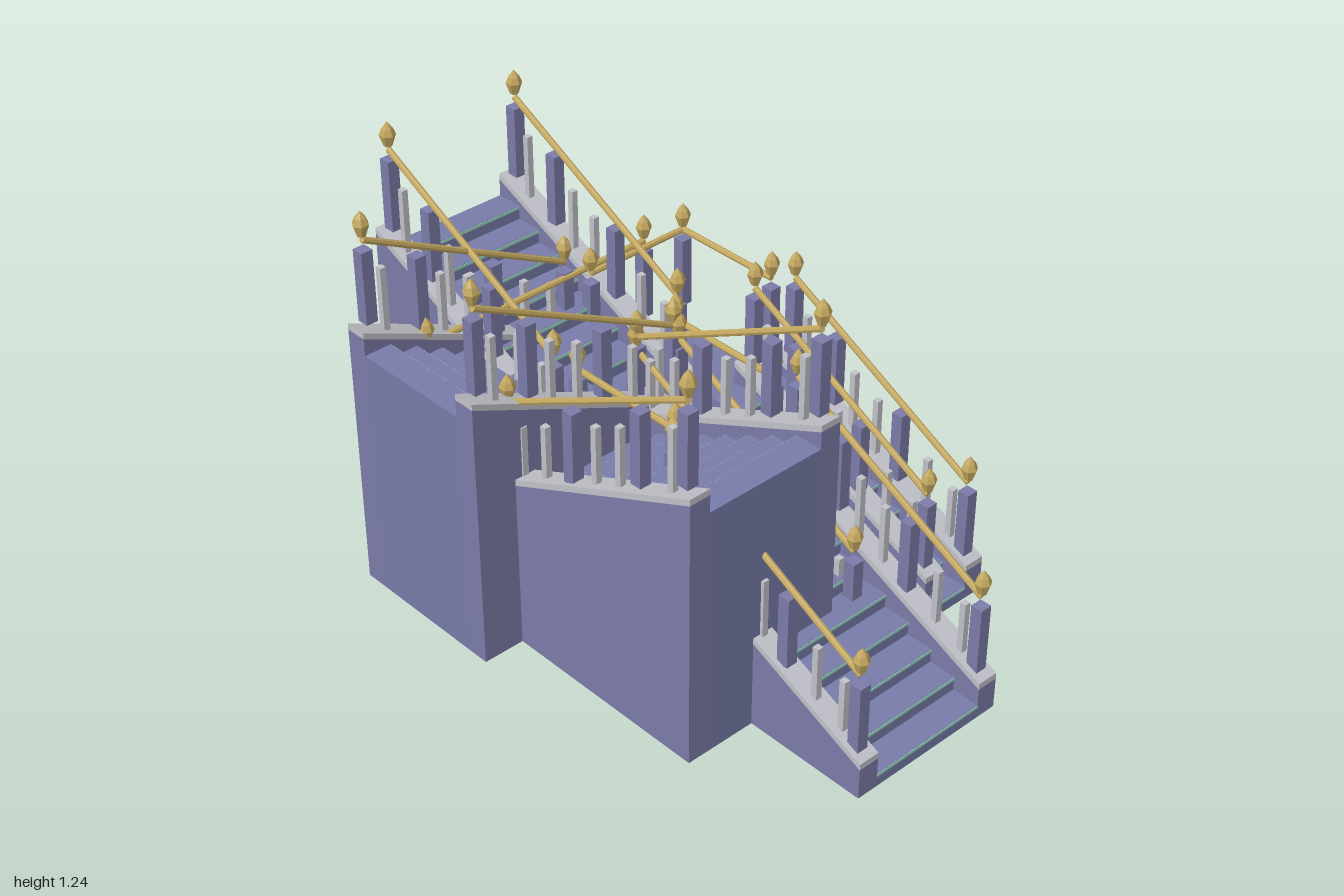
import * as THREE from 'three';

const mat = (name, color) => Object.assign(new THREE.MeshStandardMaterial({ color }), { name });

const RUN = 0.8, RISE = 0.405, STEPS = 9, HALF = 0.2, WALL = 0.07, MID = 0.235;

export function createModel() {
  const stone = mat('violet stone', 0x7b7ba8);
  const tread = mat('tread stone', 0x777ba8);
  const pale = mat('pale trim', 0xc0c0c8);
  const gold = mat('gold', 0xc4a860);
  gold.flatShading = true;
  const mint = mat('mint nosing', 0x98d4c0);

  const model = new THREE.Group();
  model.name = 'staircases';

  const add = (parent, name, geo, material, x = 0, y = 0, z = 0) => {
    const m = new THREE.Mesh(geo, material);
    m.name = name;
    m.position.set(x, y, z);
    parent.add(m);
    return m;
  };
  const box = (parent, name, material, w, h, d, x, y, z) =>
    add(parent, name, new THREE.BoxGeometry(w, h, d), material, x, y, z);

  // faceted pointed bud on top of each end post
  const finialGeo = new THREE.LatheGeometry(
    [[0, 0], [0.013, 0], [0.025, 0.036], [0.017, 0.056], [0, 0.078]].map(p => new THREE.Vector2(...p)), 6);

  // square post whose top is at y
  const post = (parent, x, y, z) => box(parent, 'post', stone, 0.038, 0.23, 0.038, x, y - 0.115, z);

  // rail between two end posts, given the post tops
  function railing(parent, a, b) {
    for (const p of [a, b]) {
      post(parent, p.x, p.y, p.z);
      add(parent, 'finial', finialGeo, gold, p.x, p.y + 0.043, p.z);
    }
    const dir = b.clone().sub(a);
    const rail = add(parent, 'handrail', new THREE.CylinderGeometry(0.01, 0.01, dir.length(), 8), gold);
    rail.position.copy(a).add(b).multiplyScalar(0.5).y += 0.03;
    rail.quaternion.setFromUnitVectors(new THREE.Vector3(0, 1, 0), dir.normalize());
  }

  // extrude a side profile (distance along the flight, height) across the wall
  function sideSlab(parent, name, pts, material, x) {
    const geo = new THREE.ExtrudeGeometry(new THREE.Shape(pts.map(p => new THREE.Vector2(...p))),
      { depth: WALL, bevelEnabled: false });
    geo.rotateY(Math.PI / 2);
    add(parent, name, geo, material, x - WALL / 2);
  }

  // one flight rising along its local -z, solid down to the floor
  function flight(name, x, z, turn, base) {
    const g = new THREE.Group();
    g.name = name;
    g.position.set(x, 0, z);
    g.rotation.y = turn;
    model.add(g);

    const going = RUN / STEPS;
    for (let i = 0; i < STEPS; i++) {
      const top = base + (i + 1) * RISE / STEPS;
      box(g, 'step', tread, HALF * 2, top, going, 0, top / 2, -(i + 0.5) * going);
      box(g, 'nosing', mint, HALF * 2, 0.009, 0.004, 0, top - 0.006, -i * going);
    }

    const capY = s => base + 0.12 + s * 0.45;
    const postY = s => base + 0.35 + (s - 0.045) * 0.514;
    for (const side of [-1, 1]) {
      const wx = side * MID;
      sideSlab(g, 'side wall', [[0, 0], [RUN, 0], [RUN, capY(RUN) - 0.02], [0, capY(0) - 0.02]], stone, wx);
      sideSlab(g, 'wall cap', [[0, capY(0) - 0.02], [RUN, capY(RUN) - 0.02], [RUN, capY(RUN)], [0, capY(0)]], pale, wx);
      railing(g, new THREE.Vector3(wx, postY(0.045), -0.045), new THREE.Vector3(wx, postY(0.755), -0.755));
      for (const s of [0.312, 0.578]) post(g, wx, postY(s), -s);
      for (const s of [0.1, 0.2, 0.405, 0.5, 0.7]) {
        const top = postY(s) - 0.05, bottom = capY(s) - 0.01;
        box(g, 'baluster', pale, 0.02, top - bottom, 0.02, wx, (top + bottom) / 2, -s);
      }
    }
  }

  // landing block, with level rails along the listed edges
  function landing(name, x, z, w, d, rails) {
    const g = new THREE.Group();
    g.name = name;
    model.add(g);
    box(g, 'landing block', tread, w, RISE, d, x, RISE / 2, z);
    for (const [x1, z1, x2, z2] of rails)
      railing(g, new THREE.Vector3(x1, 0.712, z1), new THREE.Vector3(x2, 0.712, z2));
  }

  // straight staircase
  flight('straight lower flight', 0, 1, 0, 0);
  landing('straight landing', 0, 0, 0.4, 0.4,
    [-0.187, 0.187].map(x => [x, 0.2, x, -0.2]));
  flight('straight upper flight', 0, -0.2, 0, RISE);

  // quarter-turn staircase
  flight('corner lower flight', 0.362, 0.63, 0, 0);
  landing('corner landing', 0.36, -0.37, 0.4, 0.4,
    [[0.175, -0.557, 0.548, -0.557], [0.548, -0.557, 0.548, -0.175]]);
  flight('corner upper flight', 0.16, -0.37, Math.PI / 2, RISE);

  // half-turn staircase
  flight('return lower flight', 0.235, 0.59, 0, 0);
  landing('return landing', 0, -0.4, 0.87, 0.4, [[-0.415, -0.587, 0.415, -0.587]]);
  flight('return upper flight', -0.235, -0.205, Math.PI, RISE);

  return model;
}
